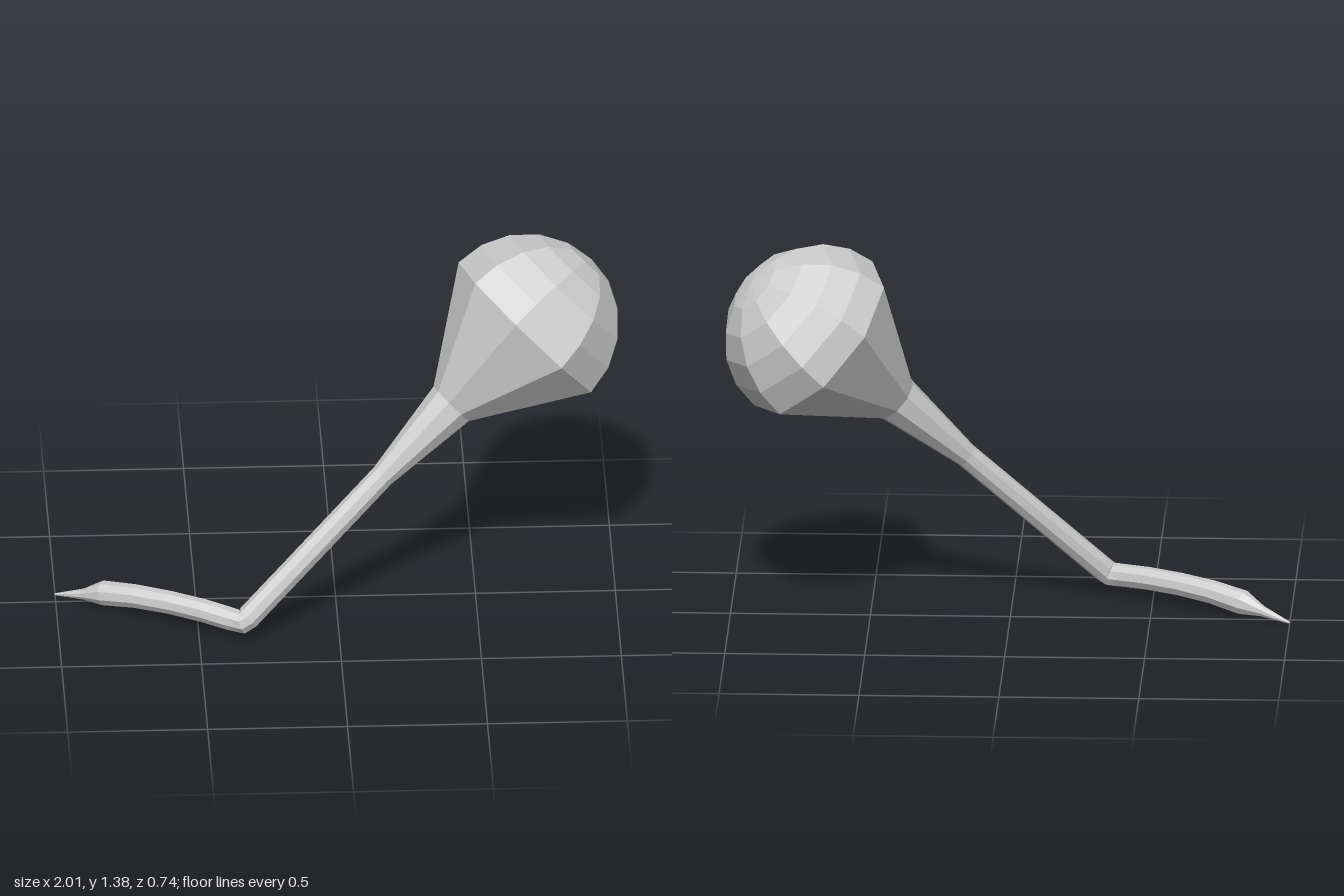
import * as THREE from 'three';

const SIDES = 9;
const PHASE = THREE.MathUtils.degToRad(13);
const V = (x, y, z) => new THREE.Vector3(x, y, z);

// Give every centre-and-radius station a ring of corners, square to the path.
function makeRings(stations) {
  const rings = [];
  const dir = (a, b) => b.p.clone().sub(a.p).normalize();
  let w = V(0, 0, 1);
  for (let i = stations.length - 1; i >= 0; i--) {
    const s = stations[i], next = stations[i + 1], prev = stations[i - 1];
    const t = V(0, 0, 0);
    if (next) t.add(dir(s, next));
    if (prev) t.add(dir(prev, s));
    t.normalize();
    w = w.clone().addScaledVector(t, -w.dot(t)).normalize();
    const u = t.clone().cross(w);
    rings[i] = Array.from({ length: SIDES }, (_, j) => {
      const a = PHASE + (j / SIDES) * Math.PI * 2;
      return s.p.clone()
        .addScaledVector(w, s.r * Math.cos(a))
        .addScaledVector(u, s.r * Math.sin(a));
    });
  }
  return rings;
}

// Skin neighbouring rings; a closed end is fanned to its centre point.
function loft(name, rings, capStart, capEnd) {
  const pos = [];
  const tri = (...pts) => pts.forEach((p) => pos.push(p.x, p.y, p.z));
  for (let i = 0; i < rings.length - 1; i++) {
    for (let j = 0; j < SIDES; j++) {
      const k = (j + 1) % SIDES;
      const [a, b, c, d] = [rings[i][j], rings[i][k], rings[i + 1][k], rings[i + 1][j]];
      tri(a, b, c);
      tri(a, c, d);
    }
  }
  for (let j = 0; j < SIDES; j++) {
    const k = (j + 1) % SIDES;
    if (capStart) tri(capStart, rings[0][k], rings[0][j]);
    if (capEnd) tri(capEnd, rings[rings.length - 1][j], rings[rings.length - 1][k]);
  }
  const geo = new THREE.BufferGeometry();
  geo.setAttribute('position', new THREE.Float32BufferAttribute(pos, 3));
  geo.computeVertexNormals();
  const mesh = new THREE.Mesh(geo, new THREE.MeshStandardMaterial({ color: 0xcccccc, flatShading: true }));
  mesh.name = name;
  return mesh;
}

export function createModel() {
  const group = new THREE.Group();
  const axis = V(0.70, 0.67, -0.245).normalize();
  const centre = V(0.685, 1.05, -0.045);
  const R = 0.338;

  // Arched tail, elbow, straight stem and flared neck
  const stations = [
    [-1.0, 0.01, -0.05, 0.004],
    [-0.9, 0.036, 0.003, 0.02],
    [-0.83, 0.057, 0.037, 0.045],
    [-0.72, 0.075, 0.1, 0.043],
    [-0.6, 0.083, 0.168, 0.042],
    [-0.48, 0.083, 0.237, 0.042],
    [-0.39, 0.077, 0.29, 0.042],
    [-0.345, 0.075, 0.313, 0.044],
    [-0.325, 0.09, 0.31, 0.044],
    [0.163, 0.563, 0.142, 0.044],
    [0.413, 0.8, 0.052, 0.09],
  ].map(([x, y, z, r]) => ({ p: V(x, y, z), r }));
  const neck = stations.length - 1;

  // Rounded dome of five bands, ending in a pole
  for (let i = 0; i < 5; i++) {
    const a = (i / 5) * Math.PI / 2;
    stations.push({ p: centre.clone().addScaledVector(axis, R * Math.sin(a)), r: R * Math.cos(a) });
  }
  const pole = centre.clone().addScaledVector(axis, R);

  const rings = makeRings(stations);
  const elbow = 7;
  group.add(
    loft('tail', rings.slice(0, elbow + 1), stations[0].p, null),
    loft('stem', rings.slice(elbow, neck + 1), null, null),
    loft('bulb', rings.slice(neck), null, pole),
  );
  return group;
}
